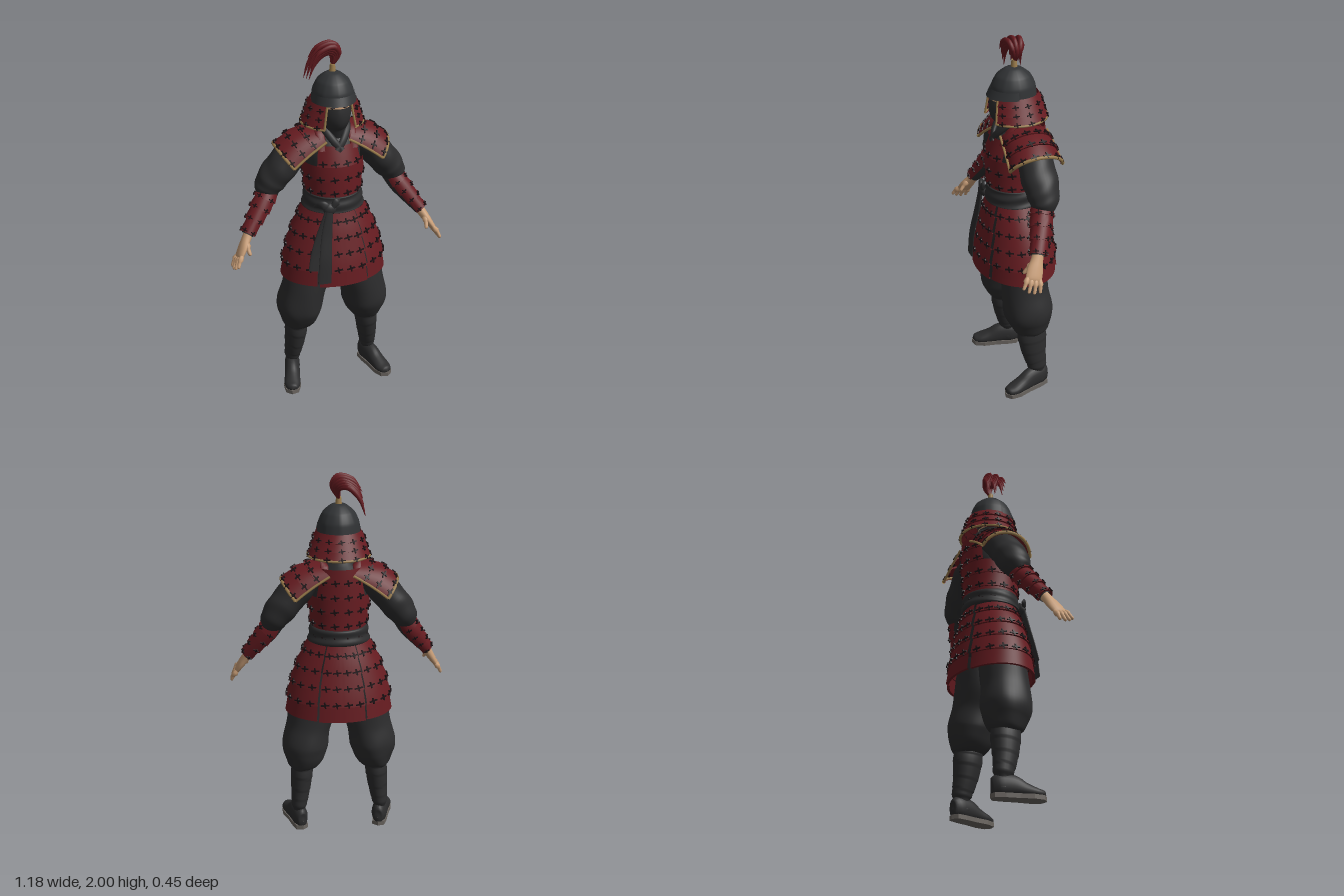
import * as THREE from 'three';
import { mergeGeometries, mergeVertices, toCreasedNormals } from 'three/addons/utils/BufferGeometryUtils.js';

const V = (x, y, z) => new THREE.Vector3(x, y, z);
const mat = (name, color) => new THREE.MeshStandardMaterial({ name, color, side: THREE.DoubleSide });
const M = {
  red: mat('lacquer red', 0x651b20), black: mat('cloth black', 0x2c2c2d), iron: mat('helmet iron', 0x303234),
  cord: mat('lacing cord', 0x1d1114), gold: mat('trim gold', 0x9a7c4c), skin: mat('skin', 0xc69c76), sole: mat('sole grey', 0x69645f),
};
const mesh = (name, geo, m) => { const o = new THREE.Mesh(geo, m); o.name = name; return o; };
const group = (name, ...kids) => { const g = new THREE.Group(); g.name = name; if (kids.length) g.add(...kids); return g; };

// grid surface from fn(u, v); vs lists the rows as v values or [v, offset]
function grid(fn, nu, vs, weld = true) {
  const pos = [], idx = [];
  vs.forEach((v, j) => {
    for (let i = 0; i <= nu; i++) {
      const p = fn(i / nu, v);
      pos.push(p.x, p.y, p.z);
      if (i < nu && j < vs.length - 1) {
        const a = j * (nu + 1) + i, b = a + nu + 1;
        idx.push(a, b, a + 1, a + 1, b, b + 1);
      }
    }
  });
  let g = new THREE.BufferGeometry();
  g.setAttribute('position', new THREE.Float32BufferAttribute(pos, 3));
  g.setIndex(idx);
  if (weld) g = mergeVertices(g, 1e-5);
  g.computeVertexNormals();
  return g;
}

// elliptical sweep through stations [x, y, z, sideRadius, depthRadius]
function sweep(st, fold = () => 1, ref = V(0, 0, 1)) {
  const path = new THREE.CatmullRomCurve3(st.map(s => V(s[0], s[1], s[2])));
  const rad = new THREE.CatmullRomCurve3(st.map(s => V(s[3], s[4], 0)));
  return (u, v) => {
    const t = path.getTangent(v), n = ref.clone().cross(t).normalize(), b = t.clone().cross(n);
    const r = rad.getPoint(v), a = -u * Math.PI * 2, f = fold(((u % 1) + 1) % 1, v);
    return path.getPoint(v).addScaledVector(n, Math.cos(a) * Math.max(r.x, 0.0005) * f)
      .addScaledVector(b, Math.sin(a) * Math.max(r.y, 0.0005) * f);
  };
}
const steps = n => Array.from({ length: n + 1 }, (_, i) => i / n);
const limb = (name, st, m, { nu = 24, nv = 24, fold, ref } = {}) => mesh(name, grid(sweep(st, fold, ref), nu, steps(nv)), m);

// outward frame of a surface
function frame(fn, u, v) {
  const e = 0.01, du = fn(u + e, v).sub(fn(u - e, v)).normalize();
  const dv = fn(u, Math.min(v + e, 1)).sub(fn(u, Math.max(v - e, 0)));
  return { du, n: dv.cross(du).normalize() };
}
const lift = (fn, u, v, d) => fn(u, v).addScaledVector(frame(fn, u, v).n, d);

// overlapping armour rows with a cross-shaped cord knot along each row edge
function lames(name, fn, rows, ties, { nu = 20, plain = 0, size = 1 } = {}) {
  const plates = [], knots = [];
  for (let r = 0; r < rows; r++) {
    const vs = [[0, 0.002], [0.5, 0.007], [1, 0.012], [1, -0.003]];
    plates.push(toCreasedNormals(grid((u, [t, d]) => lift(fn, u, (r + t) / rows, d), nu, vs, false), 0.7));
    if (r >= rows - plain) continue;
    for (let k = 0; k < ties; k++) {
      const u = (k + 0.5) / ties, v = (r + 0.86) / rows, { du, n } = frame(fn, u, v);
      const basis = new THREE.Matrix4().makeBasis(du, n.clone().cross(du), n).setPosition(lift(fn, u, v, 0.012));
      for (const [w, h, a] of [[0.046, 0.007, 0.12], [0.007, 0.034, 0.2], [0.016, 0.014, 0.78]])
        knots.push(new THREE.BoxGeometry(w * size, h * size, 0.008).rotateZ(a).applyMatrix4(basis));
    }
  }
  const g = group(name, mesh(name + 'Rows', mergeGeometries(plates), M.red));
  if (knots.length) g.add(mesh(name + 'Lacing', mergeGeometries(knots), M.cord));
  return g;
}
const trim = (name, pts, r = 0.007) => mesh(name, new THREE.TubeGeometry(new THREE.CatmullRomCurve3(pts), 40, r, 6), M.gold);

// elliptical shell: profile rows [y, rx, rz, cz], angles in degrees from the front toward the left
function shell(prof, a0, a1, y0, y1, out = 0) {
  return (u, v) => {
    const y = y0 + (y1 - y0) * v, a = THREE.MathUtils.degToRad(a0 + (a1 - a0) * u);
    let i = 0;
    while (i < prof.length - 2 && y < prof[i + 1][0]) i++;
    const [p, q] = [prof[i], prof[i + 1]], t = (y - p[0]) / (q[0] - p[0]);
    const [rx, rz, cz] = [1, 2, 3].map(k => p[k] + (q[k] - p[k]) * t);
    return V((rx + out) * Math.sin(a), y, cz + (rz + out) * Math.cos(a));
  };
}

function leg() {
  const pants = limb('trouserLeg', [[0.1, 0.95, 0, 0.1, 0.12], [0.12, 0.82, 0, 0.12, 0.125], [0.143, 0.71, 0, 0.132, 0.125], [0.17, 0.6, 0, 0.122, 0.13],
    [0.19, 0.5, -0.01, 0.128, 0.138], [0.197, 0.43, -0.018, 0.112, 0.122], [0.207, 0.37, -0.022, 0.078, 0.092], [0.207, 0.35, -0.022, 0.045, 0.06]], M.black,
  { nu: 40, nv: 40, fold: (u, v) => 1 + 0.03 * v * Math.sin(u * Math.PI * 10 + v * 9) });
  const calf = limb('wrappedCalf', [[0.207, 0.4, -0.022, 0.058, 0.078], [0.21, 0.33, -0.025, 0.061, 0.082], [0.22, 0.22, -0.035, 0.053, 0.068],
    [0.229, 0.13, -0.05, 0.043, 0.055], [0.23, 0.05, -0.05, 0.043, 0.055]], M.black, { nv: 50, fold: (u, v) => 0.98 + 0.045 * ((v * 6 + 0.4 * Math.abs(u - 0.5)) % 1) });
  // shoe with a flat sole, toe turned outward
  const up = sweep([[0, 0.05, -0.14, 0.002, 0.002], [0, 0.05, -0.133, 0.026, 0.045], [0, 0.06, -0.09, 0.043, 0.068], [0, 0.06, -0.03, 0.043, 0.065],
    [0, 0.045, 0.03, 0.044, 0.046], [0, 0.035, 0.09, 0.045, 0.031], [0, 0.032, 0.128, 0.03, 0.022], [0, 0.03, 0.14, 0.002, 0.002]], undefined, V(0, 1, 0));
  const upper = mesh('shoeUpper', grid((u, v) => { const p = up(u, v); p.y = Math.max(p.y, 0.02); return p; }, 24, steps(28)), M.black);
  const foot = new THREE.Shape([[0, -0.141], [0.034, -0.125], [0.041, -0.07], [0.041, 0], [0.048, 0.07], [0.036, 0.125], [0, 0.144],
    [-0.036, 0.125], [-0.048, 0.07], [-0.041, 0], [-0.041, -0.07], [-0.034, -0.125]].map(p => new THREE.Vector2(p[0], -p[1])));
  const sole = mesh('shoeSole', new THREE.ExtrudeGeometry(foot, { depth: 0.024, bevelEnabled: false }).rotateX(-Math.PI / 2), M.sole);
  const shoe = group('shoe', upper, sole);
  shoe.position.set(0.25, 0, 0.022);
  shoe.rotation.y = 0.27;
  return group('leg', pants, calf, shoe);
}

function arm() {
  const g = group('arm', limb('sleeve', [[0.12, 1.47, -0.03, 0.06, 0.09], [0.2, 1.42, -0.03, 0.083, 0.095], [0.28, 1.33, -0.03, 0.084, 0.095],
    [0.335, 1.26, -0.03, 0.078, 0.085], [0.365, 1.21, -0.02, 0.062, 0.066], [0.38, 1.18, -0.01, 0.03, 0.03]], M.black,
  { nu: 36, nv: 32, fold: (u, v) => 1 + 0.025 * Math.sin(v * 26 + 3 * Math.sin(u * Math.PI * 2)) }));
  // forearm with a plated guard that leaves the inner side open
  const fore = [[0.335, 1.225, -0.025, 0.05, 0.052], [0.375, 1.165, -0.005, 0.053, 0.055], [0.43, 1.09, 0.025, 0.044, 0.047], [0.49, 1.01, 0.06, 0.031, 0.035]];
  const f = sweep(fore);
  g.add(limb('forearm', fore, M.black), lames('forearmGuard', (u, v) => f(-0.36 + 0.72 * u, 0.1 + 0.88 * v), 4, 4, { size: 0.7 }));
  // hand
  g.add(limb('palm', [[0.478, 1.025, 0.055, 0.026, 0.028], [0.5, 0.99, 0.07, 0.024, 0.033], [0.525, 0.95, 0.09, 0.021, 0.043], [0.547, 0.914, 0.105, 0.016, 0.043],
    [0.557, 0.895, 0.112, 0.004, 0.03]], M.skin, { nu: 16, nv: 14 }));
  const T = V(0.47, -0.79, 0.33), B = V(-0.18, 0.3, 0.93);
  const finger = (name, a, b, r) => {
    const m = a.clone().lerp(b, 0.55).add(V(0.003, 0.002, 0)), e = b.clone().addScaledVector(b.clone().sub(a).normalize(), 0.005);
    g.add(limb(name, [[...a, r, r], [...m, r, r], [...b, r * 0.75, r * 0.75], [...e, 0.001, 0.001]], M.skin, { nu: 8, nv: 9 }));
  };
  for (let k = -1.5; k < 2; k++) {
    const a = V(0.545, 0.917, 0.104).addScaledVector(B, k * 0.022);
    finger('finger', a, a.clone().addScaledVector(T, Math.abs(k) > 1 ? 0.066 : 0.077).addScaledVector(B, k * 0.008), 0.0105);
  }
  finger('thumb', V(0.502, 0.985, 0.09), V(0.497, 0.93, 0.14), 0.012);
  // draped shoulder plate with trimmed edges
  const plate = (u, v) => {
    const a = THREE.MathUtils.degToRad(-78 + 156 * u), c = V(0.05, 1.48, -0.03).lerp(V(0.225, 1.352, -0.03), v);
    const r = 0.085 + 0.04 * v + 0.025 * Math.sin(Math.PI * v), w = 0.125 + 0.015 * v;
    return c.add(V(0.6 * r * Math.cos(a), 0.8 * r * Math.cos(a), -w * Math.sin(a)));
  };
  g.add(lames('shoulderPlate', plate, 3, 6),
    trim('shoulderTrim', steps(16).map(u => lift(plate, u, 1, 0.008)), 0.009),
    ...[0, 1].map(u => trim('shoulderEdgeTrim', steps(6).map(v => lift(plate, u, v, 0.008)))));
  return g;
}

function head() {
  const g = group('head');
  const face = mesh('face', new THREE.SphereGeometry(1, 28, 20).scale(0.08, 0.11, 0.095), M.skin);
  face.position.set(0, 1.665, 0.02);
  g.add(face, limb('faceMask', [[0, 1.668, 0.025, 0.085, 0.102], [0, 1.63, 0.03, 0.084, 0.103], [0, 1.58, 0.015, 0.073, 0.09], [0, 1.5, -0.01, 0.07, 0.085]], M.black,
    { nu: 32, fold: (u, v) => 1 + 0.07 * Math.exp(-(((u - 0.75) / 0.05) ** 2)) * (1 - v) }));
  for (const s of [-1, 1]) {
    const eye = mesh('eye', new THREE.SphereGeometry(1, 12, 8).scale(0.014, 0.004, 0.005), M.cord);
    eye.position.set(s * 0.032, 1.682, 0.107);
    g.add(eye);
  }
  // ribbed helmet bowl and brim
  g.add(limb('helmetBowl', [[0, 1.846, 0.005, 0.001, 0.001], [0, 1.838, 0.005, 0.038, 0.04], [0, 1.8, 0.005, 0.083, 0.09], [0, 1.75, 0.005, 0.106, 0.115],
    [0, 1.7, 0.005, 0.113, 0.122]], M.iron, { nu: 64, fold: u => 1 + 0.018 * Math.pow(Math.abs(Math.cos(u * Math.PI * 8)), 12) }));
  const brim = shell([[1.74, 0.111, 0.121, 0.005], [1.698, 0.12, 0.142, 0.005]], -85, 85, 1.74, 1.698);
  g.add(mesh('helmetBrim', grid(brim, 28, [0, 0.5, 1]), M.iron));
  // flared neck guard
  const guard = shell([[1.705, 0.115, 0.125, 0], [1.64, 0.135, 0.14, -0.005], [1.575, 0.156, 0.155, -0.01]], 31, 329, 1.705, 1.575);
  const edge = (u, v) => lift(guard, u, v, 0.008);
  g.add(lames('neckGuard', guard, 3, 11, { nu: 40, size: 0.8 }), trim('neckGuardTrim', steps(24).map(u => edge(u, 1))),
    ...[0, 1].map(u => trim('neckGuardEdgeTrim', steps(4).map(v => edge(u, v)), 0.006)));
  // plume swept to one side
  const socket = mesh('plumeSocket', new THREE.CylinderGeometry(0.013, 0.018, 0.045, 16), M.gold);
  socket.position.set(0, 1.858, 0);
  g.add(socket);
  for (let i = 0; i < 14; i++) {
    const f = i / 13, k = ((i * 5) % 14) / 13 - 0.5;
    g.add(limb('plumeStrand', [[0, 1.868, -0.005, 0.007, 0.007], [0.035 - 0.035 * (1 - f), 1.925 + 0.015 * f, -0.01 + 0.05 * k, 0.013, 0.013],
      [-0.045 + 0.05 * f, 1.935 + 0.05 * f, -0.015 + 0.09 * k, 0.015, 0.013], [-0.1 + 0.03 * f, 1.88 + 0.09 * f, -0.02 + 0.11 * k, 0.011, 0.01],
      [-0.13 + 0.015 * f, 1.79 + 0.13 * f, -0.025 + 0.12 * k, 0.001, 0.001]], M.red, { nu: 8, nv: 16 }));
  }
  return g;
}

function body() {
  const g = group('body', limb('underRobe', [[0, 1.6, -0.015, 0.055, 0.06], [0, 1.55, -0.03, 0.075, 0.08], [0, 1.5, -0.03, 0.125, 0.105], [0, 1.4, -0.01, 0.152, 0.135],
    [0, 1.28, 0, 0.143, 0.13], [0, 1.15, 0, 0.13, 0.12], [0, 1, 0, 0.15, 0.13], [0, 0.87, 0, 0.165, 0.135], [0, 0.82, 0, 0.01, 0.01]], M.black, { nu: 32, nv: 40 }));
  // chest armour: wrapped rows below, separate front and back plates above
  const chest = [[1.54, 0.13, 0.115, -0.045], [1.47, 0.148, 0.14, -0.02], [1.36, 0.162, 0.153, -0.002], [1.25, 0.149, 0.145, 0], [1.13, 0.14, 0.135, 0]];
  g.add(lames('cuirass', shell(chest, 0, 360, 1.37, 1.13), 3, 14, { nu: 48 }),
    lames('breastPlate', shell(chest, -44, 44, 1.475, 1.37), 1, 4), lames('backPlate', shell(chest, 132, 228, 1.53, 1.37), 2, 4));
  for (const s of [-1, 1]) {
    g.add(limb('shoulderStrap', [[s * 0.088, 1.45, 0.107, 0.02, 0.006], [s * 0.085, 1.515, 0.07, 0.022, 0.007], [s * 0.08, 1.555, 0, 0.022, 0.007],
      [s * 0.085, 1.54, -0.1, 0.022, 0.007], [s * 0.088, 1.47, -0.145, 0.02, 0.006]], M.red, { nu: 12, ref: V(0, 0.3, 1) }),
    limb('collarBand', [[s * 0.07, 1.585, -0.02, 0.018, 0.018], [s * 0.062, 1.555, 0.05, 0.02, 0.02], [s * 0.03, 1.505, 0.1, 0.02, 0.014], [-s * 0.012, 1.45, 0.125, 0.018, 0.01]], M.black, { nu: 12 }));
  }
  // skirt: front and back flaps over two side panels
  const skirt = [[1.13, 0.15, 0.132, 0], [1.08, 0.176, 0.143, 0], [1, 0.217, 0.165, 0], [0.9, 0.254, 0.184, 0], [0.8, 0.278, 0.203, 0], [0.7, 0.284, 0.205, 0]];
  [['frontFlap', -27, 27, 0.006, 4], ['leftSidePanel', 30, 152, -0.002, 7], ['backFlap', 155, 205, 0.006, 4], ['rightSidePanel', 208, 330, -0.002, 7]]
    .forEach(([n, a, b, o, t]) => g.add(lames(n, shell(skirt, a, b, 1.13, 0.7, o), 5, t, { nu: 28, plain: 1 })));
  // sash, knot and hanging tails
  g.add(limb('sash', [[0, 1.2, 0, 0.138, 0.13], [0, 1.19, 0, 0.156, 0.15], [0, 1.15, 0, 0.16, 0.155], [0, 1.11, 0, 0.168, 0.158], [0, 1.1, 0, 0.15, 0.13]], M.black,
    { nu: 40, nv: 30, fold: (u, v) => 1 + 0.02 * Math.sin(v * 19 + 2 * Math.sin(u * Math.PI * 2)) }));
  const knot = mesh('sashKnot', new THREE.SphereGeometry(1, 16, 12).scale(0.036, 0.034, 0.025), M.black);
  knot.position.set(-0.065, 1.14, 0.155);
  g.add(knot,
    limb('sashLoop', [[-0.06, 1.14, 0.165, 0.01, 0.008], [-0.1, 1.165, 0.155, 0.025, 0.012], [-0.14, 1.15, 0.12, 0.004, 0.004]], M.black, { nu: 12 }),
    limb('sashLoop', [[-0.06, 1.14, 0.165, 0.01, 0.008], [-0.03, 1.18, 0.165, 0.022, 0.012], [-0.01, 1.19, 0.16, 0.002, 0.002]], M.black, { nu: 12 }),
    limb('sashTail', [[-0.07, 1.13, 0.168, 0.02, 0.01], [-0.09, 1, 0.185, 0.03, 0.008], [-0.105, 0.86, 0.209, 0.035, 0.007], [-0.113, 0.73, 0.218, 0.038, 0.006]], M.black, { nu: 16 }),
    limb('sashTail', [[-0.075, 1.13, 0.165, 0.02, 0.01], [-0.115, 1, 0.168, 0.028, 0.008], [-0.145, 0.9, 0.176, 0.03, 0.007], [-0.165, 0.8, 0.189, 0.03, 0.006]], M.black, { nu: 16 }));
  return g;
}

export function createModel() {
  const model = group('armouredWarrior', body(), head());
  const left = group('leftLimbs', leg(), arm()), right = left.clone();
  right.name = 'rightLimbs';
  right.scale.x = -1;
  model.add(left, right);
  return model;
}
